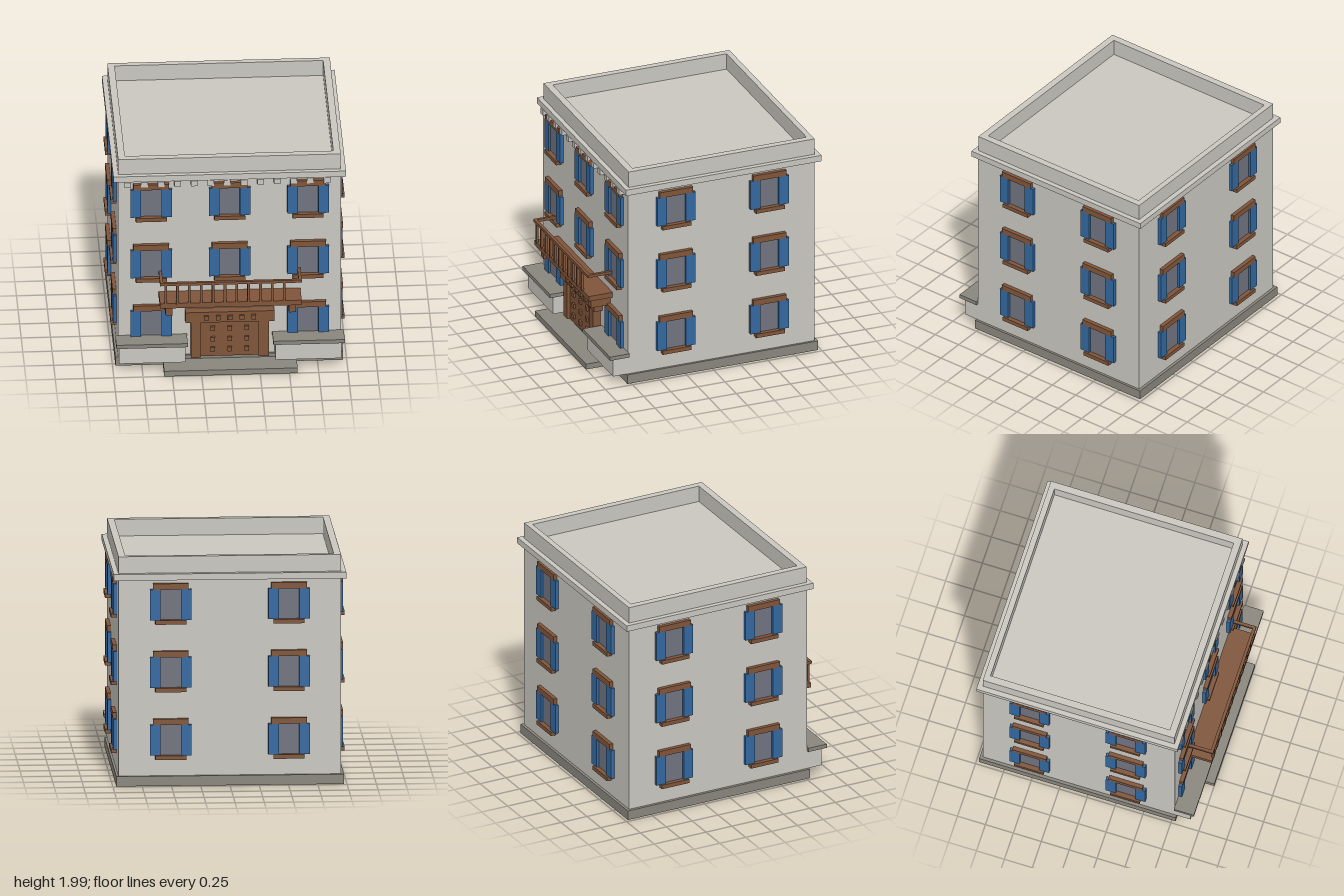
import * as THREE from 'three';

const mat = (name, color) => {
  const m = new THREE.MeshStandardMaterial({ color });
  m.name = name;
  return m;
};

export function createModel() {
  const plaster = mat('plaster', 0xc9c7c0);
  const wood = mat('wood', 0x80553a);
  const blue = mat('shutterBlue', 0x3368a0);
  const glass = mat('glass', 0x70747f);
  const stone = mat('stone', 0x89867d);

  const model = new THREE.Group();
  model.name = 'building';

  // Box given by its extents on each axis
  const box = (parent, name, material, x0, x1, y0, y1, z0, z1) => {
    const mesh = new THREE.Mesh(new THREE.BoxGeometry(x1 - x0, y1 - y0, z1 - z0), material);
    mesh.position.set((x0 + x1) / 2, (y0 + y1) / 2, (z0 + z1) / 2);
    mesh.name = name;
    parent.add(mesh);
    return mesh;
  };
  const group = (name) => {
    const g = new THREE.Group();
    g.name = name;
    model.add(g);
    return g;
  };

  // Main block, plinth, front step
  const W = 0.95, BACK = -0.95, FRONT = 0.77;
  box(model, 'plinth', stone, -0.975, 0.97, 0, 0.085, -0.975, 0.785);
  box(model, 'frontStep', stone, -0.57, 0.57, 0, 0.05, 0.785, 1.0);
  box(model, 'walls', plaster, -W, W, 0.085, 1.79, BACK, FRONT);
  box(model, 'cornice', plaster, -0.993, 0.993, 1.79, 1.845, -0.995, 0.807);

  // Parapet ring around the flat roof
  const rect = (P, x0, x1, y0, y1) => {
    const p = new P();
    p.moveTo(x0, y0).lineTo(x1, y0).lineTo(x1, y1).lineTo(x0, y1).closePath();
    return p;
  };
  const ring = rect(THREE.Shape, -W, W, -0.765, 0.95);
  ring.holes.push(rect(THREE.Path, -0.89, 0.89, -0.705, 0.9));
  const parapet = new THREE.Mesh(
    new THREE.ExtrudeGeometry(ring, { depth: 0.145, bevelEnabled: false }), plaster);
  parapet.rotation.x = -Math.PI / 2;
  parapet.position.y = 1.845;
  parapet.name = 'parapet';
  model.add(parapet);

  // Dentils under the front cornice
  const dentils = group('dentils');
  for (let i = 0; i < 13; i++) {
    const x = -0.87 + i * 0.1417;
    box(dentils, 'dentil', plaster, x - 0.028, x + 0.028, 1.74, 1.79, FRONT, 0.815);
  }

  // Window facing +z, its wall plane at z = 0, bottom of the glass at y = 0
  const addWindow = (x, y, z, turn) => {
    const w = group('window');
    box(w, 'pane', glass, -0.088, 0.088, 0, 0.265, -0.005, 0.008);
    for (const s of [-1, 1]) {
      box(w, 'shutter', blue, s * 0.132 - 0.045, s * 0.132 + 0.045, 0, 0.265, -0.005, 0.03);
    }
    box(w, 'windowLintel', wood, -0.152, 0.152, 0.265, 0.317, -0.005, 0.034);
    box(w, 'windowSill', wood, -0.132, 0.132, -0.036, 0, -0.005, 0.048);
    w.position.set(x, y, z);
    w.rotation.y = turn;
  };
  [0.265, 0.853, 1.441].forEach((y, row) => {
    for (const x of [-0.67, 0, 0.67]) {
      if (row > 0 || x !== 0) addWindow(x, y, FRONT, 0);
    }
    for (const x of [-0.505, 0.505]) addWindow(x, y, BACK, Math.PI);
    for (const z of [0.337, -0.524]) {
      addWindow(W, y, z, Math.PI / 2);
      addWindow(-W, y, z, -Math.PI / 2);
    }
  });

  // Low walls with stone caps either side of the entrance
  for (const s of [-1, 1]) {
    const low = group('lowWall');
    box(low, 'lowWallBody', plaster, s * 0.6675 - 0.2825, s * 0.6675 + 0.2825, 0.085, 0.25, FRONT, 0.91);
    box(low, 'lowWallCap', stone, s * 0.67 - 0.305, s * 0.67 + 0.305, 0.25, 0.285, FRONT, 0.947);
  }

  // Entrance: panel, jambs, lintel and square studs
  const door = group('entrance');
  box(door, 'doorPanel', wood, -0.245, 0.245, 0.085, 0.43, FRONT, 0.81);
  for (const s of [-1, 1]) {
    box(door, 'doorJamb', wood, s * 0.2885 - 0.0435, s * 0.2885 + 0.0435, 0.085, 0.43, FRONT, 0.838);
  }
  box(door, 'doorLintel', wood, -0.38, 0.38, 0.43, 0.53, FRONT, 0.848);
  const stud = (x, y, z) =>
    box(door, 'stud', wood, x - 0.02, x + 0.02, y - 0.02, y + 0.02, z, z + 0.019);
  for (const y of [0.155, 0.255, 0.357]) {
    for (const x of [-0.145, 0, 0.145]) stud(x, y, 0.81);
  }
  for (let i = -2; i <= 2; i++) stud(i * 0.101, 0.48, 0.848);

  // Balcony: slab, brackets, balusters and handrail
  const balcony = group('balcony');
  box(balcony, 'balconySlab', wood, -0.605, 0.605, 0.655, 0.702, FRONT, 0.99);
  for (const s of [-1, 1]) {
    box(balcony, 'bracket', wood, s * 0.527 - 0.03, s * 0.527 + 0.03, 0.565, 0.655, FRONT, 0.95);
    box(balcony, 'sideRail', wood, s * 0.592 - 0.013, s * 0.592 + 0.013, 0.878, 0.903, FRONT, 0.973);
  }
  box(balcony, 'frontRail', wood, -0.605, 0.605, 0.878, 0.903, 0.973, 1.0);
  for (let i = 0; i < 11; i++) {
    const x = -0.557 + i * 0.1012;
    box(balcony, 'baluster', wood, x - 0.011, x + 0.011, 0.695, 0.878, 0.976, 0.998);
  }

  return model;
}
